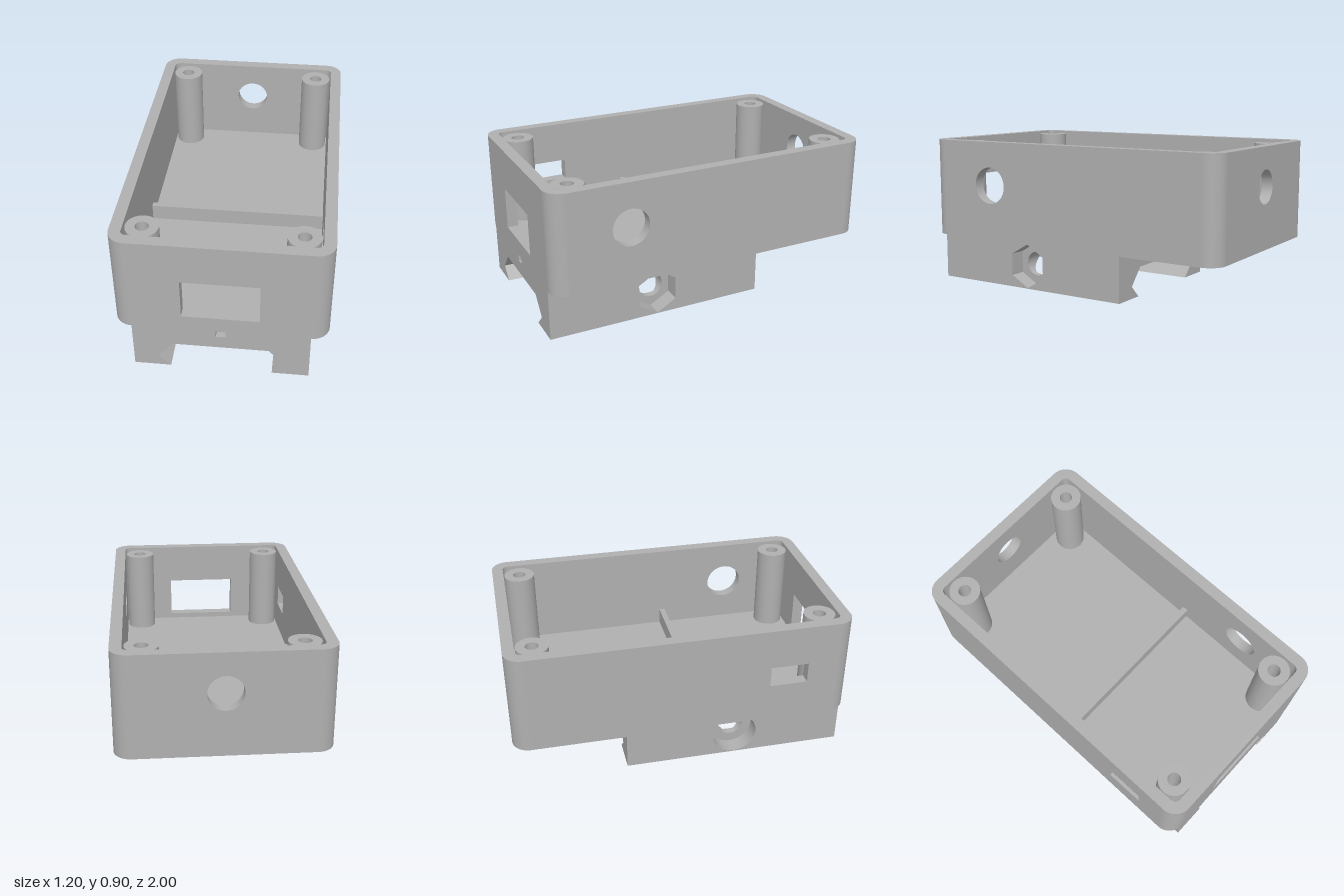
import * as THREE from 'three';
import { toCreasedNormals } from 'three/addons/utils/BufferGeometryUtils.js';

const grey = new THREE.MeshStandardMaterial({ color: 0xb0b0b0 });
grey.name = 'grey plastic';

// main sizes
const W = 0.6, L = 1, T = 0.067, BASE = 0.3, FLOOR = 0.367, TOP = 0.9, R = 0.1;
const RAIL_W = 0.5, RAIL_BACK = -0.333;
const BOLT_Z = 0.335, BOLT_Y = 0.14, BOLT_R = 0.075, POCKET_X = 0.4, MID = 0.15;

const poly = (pts) => new THREE.Shape(pts.map(([x, y]) => new THREE.Vector2(x, y)));
const rect = (x0, y0, x1, y1) => poly([[x0, y0], [x1, y0], [x1, y1], [x0, y1]]);
const circle = (x, y, r) => new THREE.Shape().absarc(x, y, r, 0, Math.PI * 2, false);
const hexagon = (x, y, r) => poly([...Array(6)].map((_, i) => {
  const a = Math.PI / 2 + i * Math.PI / 3;
  return [x + r * Math.cos(a), y + r * Math.sin(a)];
}));

function extrude(shape, depth, ...holes) {
  shape.holes.push(...holes);
  return new THREE.ExtrudeGeometry(shape, { depth, bevelEnabled: false, curveSegments: 24 });
}

function add(parent, name, geometry) {
  const mesh = new THREE.Mesh(toCreasedNormals(geometry, 0.6), grey);
  mesh.name = name;
  parent.add(mesh);
  return mesh;
}

// open box with four pierced walls, rounded corners, posts and a rib
function buildCase() {
  const box = new THREE.Group();
  box.name = 'case';
  const end = () => rect(-W + R, BASE, W - R, TOP);
  const side = () => rect(-L + R, BASE, L - R, TOP);

  add(box, 'frontWall', extrude(end(), T, rect(-0.217, 0.4, 0.217, 0.652)).translate(0, 0, L - T));
  add(box, 'backWall', extrude(end(), T, circle(0, 0.668, 0.1)).translate(0, 0, -L));
  // side shapes run along -z
  add(box, 'leftWall', extrude(side(), T, circle(-0.537, 0.634, 0.111)).rotateY(Math.PI / 2).translate(W - T, 0, 0));
  add(box, 'rightWall', extrude(side(), T, rect(-0.73, 0.53, -0.505, 0.655)).rotateY(Math.PI / 2).translate(-W, 0, 0));

  // corners: quarter rings
  const corners = [[1, -1], [-1, -1], [-1, 1], [1, 1]];
  corners.forEach(([sx, sz], i) => {
    const ring = new THREE.Shape()
      .absarc(0, 0, R, 0, Math.PI / 2, false)
      .absarc(0, 0, R - T, Math.PI / 2, 0, true);
    const geo = extrude(ring, TOP - BASE).rotateX(-Math.PI / 2).rotateY(i * Math.PI / 2);
    add(box, 'corner', geo.translate(sx * (W - R), BASE, sz * (L - R)));
    // screw post with blind hole
    const post = extrude(circle(0, 0, 0.092), 0.885 - FLOOR, circle(0, 0, 0.038)).rotateX(-Math.PI / 2);
    add(box, 'screwPost', post.translate(sx * 0.433, FLOOR, sz * 0.835));
  });

  add(box, 'floor', new THREE.BoxGeometry(2 * (W - T), FLOOR - BASE, 2 * (L - T)).translate(0, (FLOOR + BASE) / 2, 0));
  add(box, 'rib', new THREE.BoxGeometry(2 * (W - T), 0.098, 0.035).translate(0, FLOOR + 0.049, 0.108));
  return box;
}

// dovetail section with a small cable notch on top
function railProfile() {
  const right = [[0.027, 0.26], [0.027, BASE], [RAIL_W, BASE], [RAIL_W, 0], [0.29, 0], [0.363, 0.073], [0.27, 0.177]];
  return poly([...right, ...right.map(([x, y]) => [-x, y]).reverse()]);
}

// one strip of the bolt section: inner face slopes from xa (at y0) to xb (at y1)
function boltStrip(parent, y0, y1, xa, xb) {
  const edge = (y) => Math.sqrt(Math.max(0, BOLT_R ** 2 - (y - BOLT_Y) ** 2));
  const ys = [y0];
  for (let i = 0; i <= 24; i++) {
    const y = BOLT_Y - BOLT_R * Math.cos(i * Math.PI / 24);
    if (y > y0 + 1e-4 && y < y1 - 1e-4) ys.push(y);
  }
  ys.push(y1);
  for (const s of [-1, 1]) {
    const shape = poly([[s * MID, y1], [s * MID, y0], ...ys.map((y) => [s * edge(y), y])]);
    const geo = extrude(shape, 1).rotateY(Math.PI / 2);
    const p = geo.attributes.position;
    for (let i = 0; i < p.count; i++) {
      const inner = xa + (xb - xa) * (p.getY(i) - y0) / (y1 - y0);
      p.setX(i, inner + p.getX(i) * (POCKET_X - inner));
    }
    add(parent, 'boltStrip', geo);
  }
}

// half of the bolt section, with its outer pocket
function boltHalf(name, pocket) {
  const half = new THREE.Group();
  half.name = name;
  boltStrip(half, 0, 0.073, 0.29, 0.363);
  boltStrip(half, 0.073, 0.177, 0.363, 0.27);
  boltStrip(half, 0.177, 0.26, 0, 0);
  boltStrip(half, 0.26, BASE, 0.027, 0.027);
  const cheek = extrude(rect(-MID, 0, MID, BASE), RAIL_W - POCKET_X, pocket);
  add(half, 'pocketCheek', cheek.rotateY(Math.PI / 2).translate(POCKET_X, 0, 0));
  half.position.z = BOLT_Z;
  return half;
}

function buildRailMount() {
  const mount = new THREE.Group();
  mount.name = 'railMount';
  const z0 = BOLT_Z - MID, z1 = BOLT_Z + MID;
  add(mount, 'railFront', extrude(railProfile(), L - z1).translate(0, 0, z1));
  add(mount, 'railBack', extrude(railProfile(), z0 - RAIL_BACK).translate(0, 0, RAIL_BACK));
  const nutSide = boltHalf('nutSide', hexagon(0, BOLT_Y, 0.136));
  const headSide = boltHalf('boltHeadSide', circle(0, BOLT_Y, 0.134));
  headSide.rotation.y = Math.PI;
  mount.add(nutSide, headSide);
  return mount;
}

export function createModel() {
  const model = new THREE.Group();
  model.name = 'railMountedCase';
  model.add(buildCase(), buildRailMount());
  return model;
}
